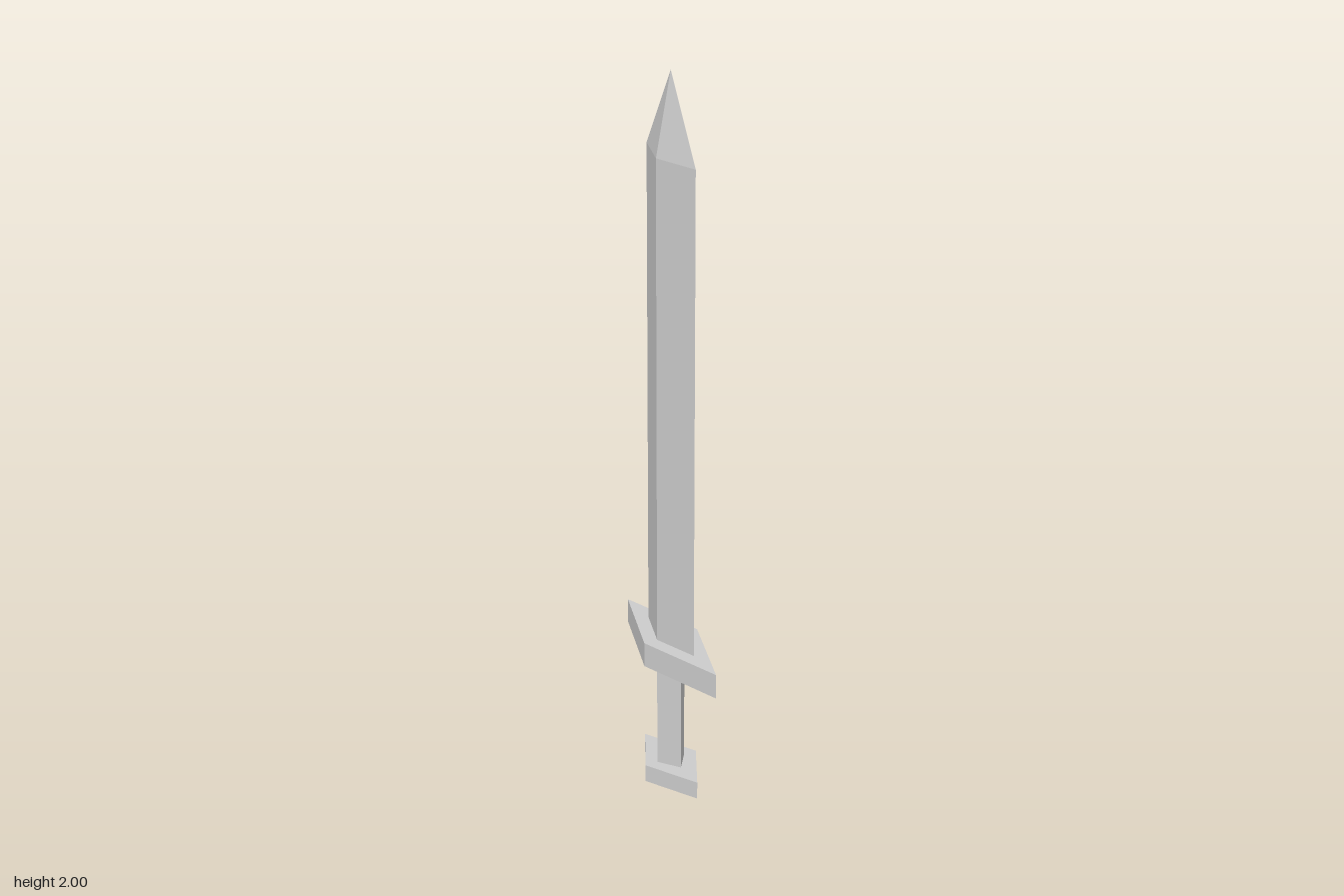
import * as THREE from 'three';

const material = new THREE.MeshStandardMaterial({ color: 0xcccccc, flatShading: true });

// Prism on a diamond base: half width in x, half width in z, from y0 to y1.
// top = 0 tapers it to a point.
function diamond(name, halfX, halfZ, y0, y1, top = 1) {
  const geometry = new THREE.CylinderGeometry(top, 1, y1 - y0, 4);
  geometry.scale(halfX, 1, halfZ);
  geometry.translate(0, (y0 + y1) / 2, 0);
  geometry.computeVertexNormals();
  const mesh = new THREE.Mesh(geometry, material);
  mesh.name = name;
  return mesh;
}

export function createModel() {
  const sword = new THREE.Group();
  sword.name = 'sword';
  sword.add(
    diamond('pommel', 0.079, 0.147, 0, 0.05),
    diamond('grip', 0.042, 0.057, 0.05, 0.36),
    diamond('crossguard', 0.081, 0.243, 0.36, 0.43),
    diamond('blade', 0.042, 0.125, 0.43, 1.78),
    diamond('bladeTip', 0.042, 0.125, 1.78, 2, 0),
  );
  return sword;
}
